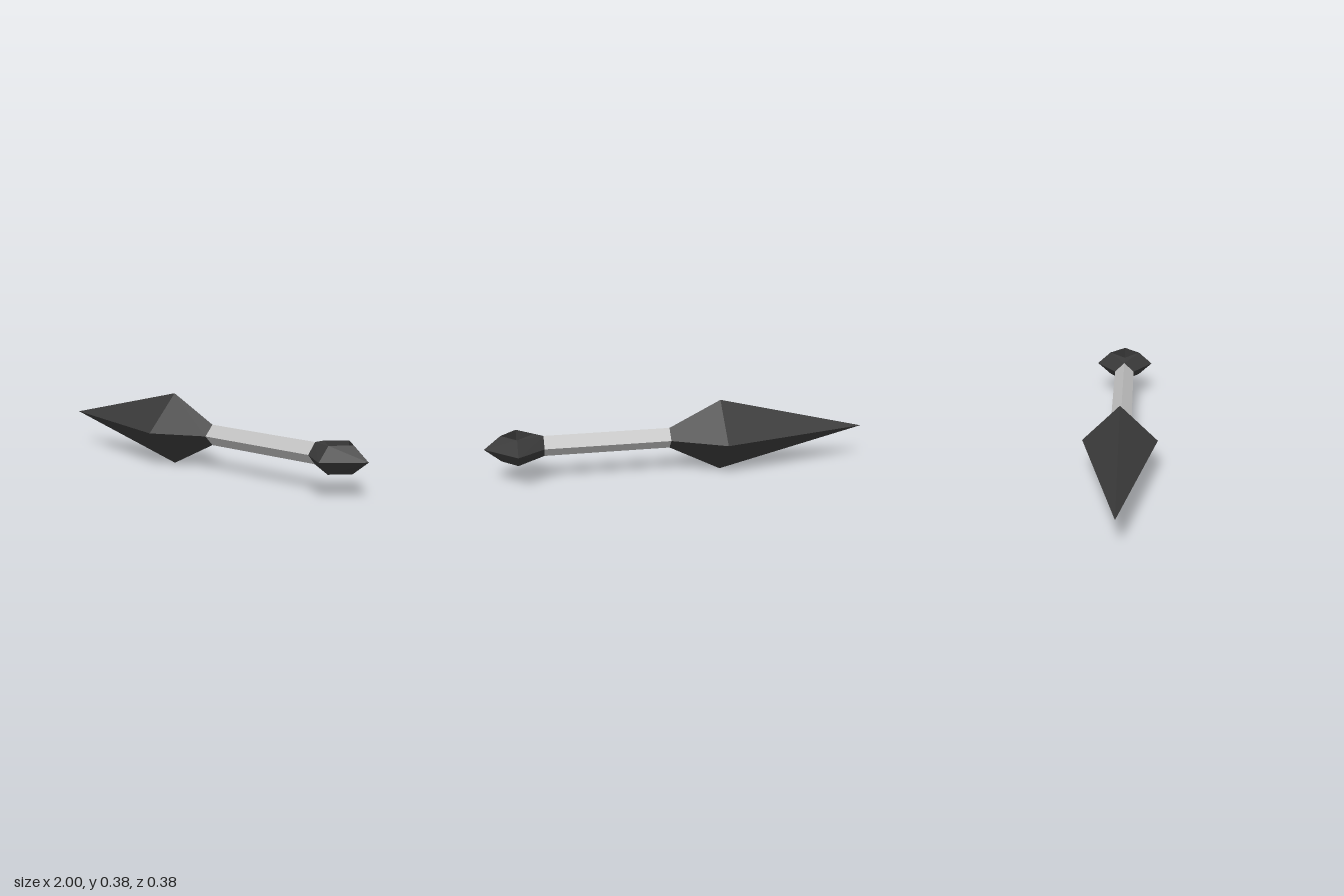
import * as THREE from 'three';

const AXIS_Y = 0.19;

export function createModel() {
  const group = new THREE.Group();
  const darkIron = new THREE.MeshStandardMaterial({ color: 0x393939, flatShading: true });
  const greyGrip = new THREE.MeshStandardMaterial({ color: 0xc0c0c0, flatShading: true });
  darkIron.name = 'darkIron';
  greyGrip.name = 'greyGrip';

  const add = (parent, name, geometry, material) => {
    const mesh = new THREE.Mesh(geometry, material);
    mesh.name = name;
    parent.add(mesh);
  };

  // four-sided section along x, with its corners up, down, front and back
  const section = (x0, r0, x1, r1, open = true) =>
    new THREE.CylinderGeometry(r1, r0, x1 - x0, 4, 1, open)
      .rotateZ(-Math.PI / 2)
      .translate((x0 + x1) / 2, AXIS_Y, 0);

  // blade: long point and short shoulder
  const blade = new THREE.Group();
  blade.name = 'blade';
  add(blade, 'bladePoint', section(-1, 0, -0.22, 0.19), darkIron);
  add(blade, 'bladeShoulder', section(-0.22, 0.19, 0.05, 0.054), darkIron);
  group.add(blade);

  add(group, 'handle', section(0.05, 0.054, 0.7, 0.054, false), greyGrip);
  add(group, 'pommelRing', ringGeometry(), darkIron);
  return group;
}

// faceted ring with a square hole: one quarter, mirrored in y and z
function ringGeometry() {
  const p = {
    neckTop: [0.7, 0.054, 0], neckSide: [0.7, 0, 0.054],
    nearTop: [0.75, 0.068, 0], nearMid: [0.75, 0, 0],
    sideTop: [0.835, 0.068, 0.085], sideMid: [0.835, 0, 0.085], sideTip: [0.835, 0, 0.16],
    farTop: [0.915, 0.068, 0], farMid: [0.915, 0, 0], farTip: [1, 0, 0],
  };
  const faces = [
    ['neckTop', 'neckSide', 'sideTip', 'sideTop', 'nearTop'],
    ['sideTop', 'sideTip', 'farTip', 'farTop'],
    ['nearTop', 'sideTop', 'sideMid', 'nearMid'],
    ['sideTop', 'farTop', 'farMid', 'sideMid'],
  ];
  const positions = [];
  for (const sy of [1, -1]) {
    for (const sz of [1, -1]) {
      for (const face of faces) {
        const loop = sy * sz > 0 ? face : [...face].reverse();
        // fan starts at the same corner on every mirrored copy
        const start = loop.indexOf(face[0]);
        const at = (i) => p[loop[(start + i) % loop.length]];
        for (let i = 1; i < loop.length - 1; i++) {
          for (const [x, y, z] of [at(0), at(i), at(i + 1)]) {
            positions.push(x, AXIS_Y + y * sy, z * sz);
          }
        }
      }
    }
  }
  const geometry = new THREE.BufferGeometry();
  geometry.setAttribute('position', new THREE.Float32BufferAttribute(positions, 3));
  geometry.computeVertexNormals();
  return geometry;
}
